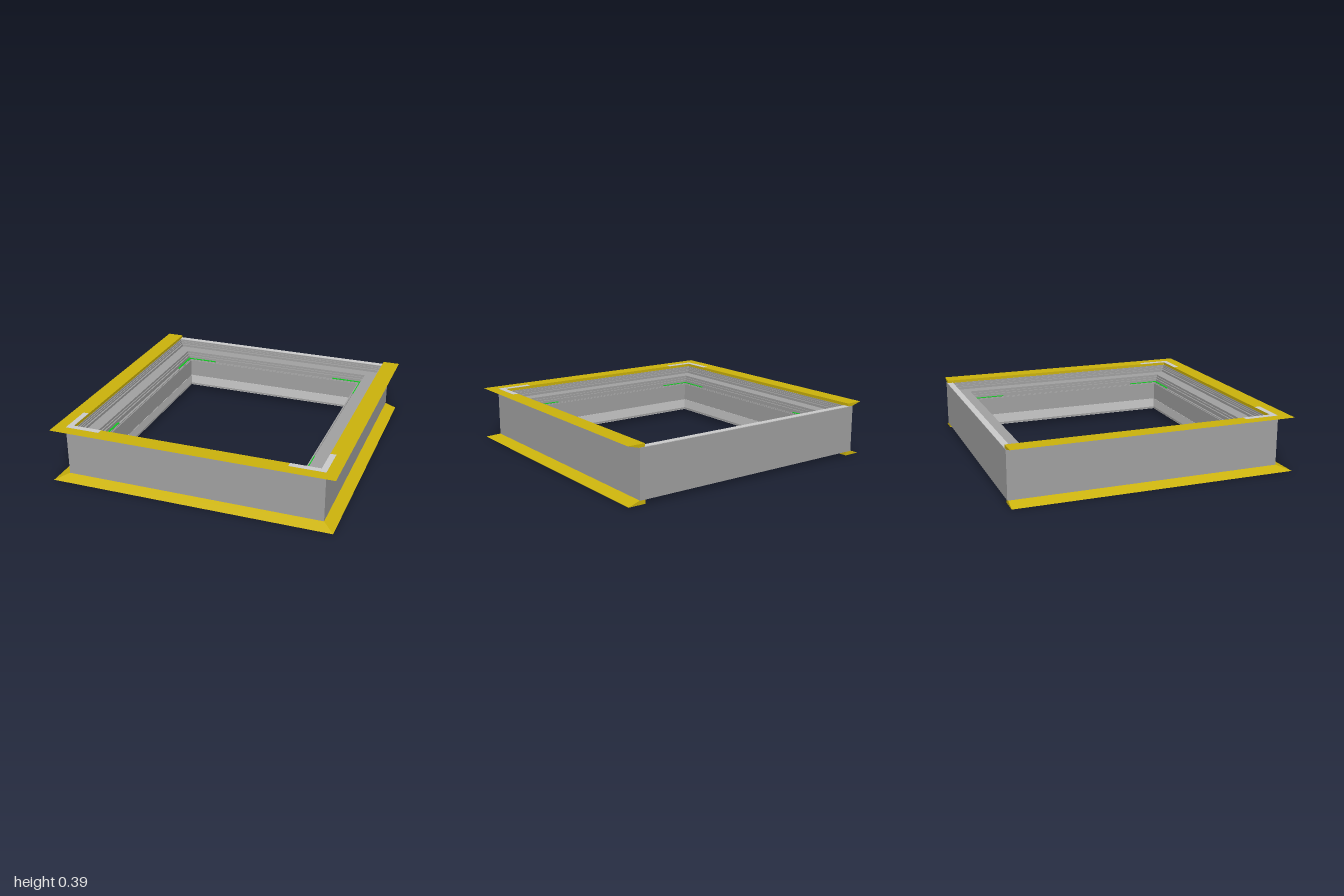
import * as THREE from 'three';

const HALF = 0.918, BACK = -1;
const material = color => new THREE.MeshStandardMaterial({ color, side: THREE.DoubleSide, flatShading: true });
const grey = material(0xcccccc);
const darkGrey = material(0xa2a2a2);
const yellow = material(0xccb30c);
const green = material(0x10cc20);

// Sweeps a closed profile of [inset, height] pairs through mitred corners
function sweep(profile, corners, closed) {
  const pos = [];
  const n = profile.length;
  const stations = corners.map(c => profile.map(([d, y]) => {
    const [x, z] = c(d);
    return [x, y, z];
  }));
  const tri = (a, b, c) => pos.push(...a, ...b, ...c);
  const spans = closed ? stations.length : stations.length - 1;
  for (let i = 0; i < spans; i++) {
    const s = stations[i], t = stations[(i + 1) % stations.length];
    for (let j = 0; j < n; j++) {
      const k = (j + 1) % n;
      tri(s[j], t[j], t[k]);
      tri(s[j], t[k], s[k]);
    }
  }
  // End caps of an open run
  if (!closed) {
    const s = stations[0], t = stations[stations.length - 1];
    for (let j = 1; j < n - 1; j++) {
      tri(s[0], s[j], s[j + 1]);
      tri(t[0], t[j + 1], t[j]);
    }
  }
  const geo = new THREE.BufferGeometry();
  geo.setAttribute('position', new THREE.Float32BufferAttribute(pos, 3));
  geo.computeVertexNormals();
  return geo;
}

export function createModel() {
  const group = new THREE.Group();
  const add = (name, geo, mat) => {
    const mesh = new THREE.Mesh(geo, mat);
    mesh.name = name;
    group.add(mesh);
    return mesh;
  };
  const box = (name, mat, x0, x1, y0, y1, z0, z1) => {
    const geo = new THREE.BoxGeometry(Math.abs(x1 - x0), y1 - y0, Math.abs(z1 - z0));
    add(name, geo, mat).position.set((x0 + x1) / 2, (y0 + y1) / 2, (z0 + z1) / 2);
  };

  // Frame ring: outer wall up, stepped rebates inward, plain inner wall, flat underside
  const ring = [
    d => [HALF - d, HALF - d], d => [HALF - d, BACK + d],
    d => [-HALF + d, BACK + d], d => [-HALF + d, HALF - d],
  ];
  const frameProfile = [
    [0, 0.03], [0, 0.364], [0.045, 0.364], [0.045, 0.352], [0.052, 0.352],
    [0.052, 0.342], [0.058, 0.342], [0.058, 0.33], [0.07, 0.33], [0.07, 0.312],
    [0.156, 0.312], [0.156, 0.295], [0.164, 0.295], [0.164, 0.28], [0.174, 0.28],
    [0.174, 0.252], [0.19, 0.252], [0.19, 0.258], [0.196, 0.258], [0.196, 0.252],
    [0.203, 0.252], [0.203, 0.035], [0.045, 0.035], [0.045, 0.03],
  ];
  add('frame', sweep(frameProfile, ring, true), darkGrey);

  // Light band around the lower part of the opening, and its foot on the underside
  add('innerBand', sweep([[0.2, 0.05], [0.2, 0.12], [0.205, 0.12], [0.205, 0.05]], ring, true), grey);
  add('innerFoot', sweep([[0.175, 0.033], [0.175, 0.036], [0.203, 0.036], [0.203, 0.033]], ring, true), grey);

  // Light strip on the bare rear edge
  box('rearStrip', grey, -0.878, 0.878, 0.362, 0.366, BACK, BACK + 0.044);

  // Flared flanges on the two sides and the front, open at the back
  const run = [
    d => [-HALF + d, BACK + 0.005], d => [-HALF + d, HALF - d],
    d => [HALF - d, HALF - d], d => [HALF - d, BACK + 0.005],
  ];
  const out = HALF - 1;
  add('topFlange', sweep([[out, 0.385], [0.041, 0.385], [0.041, 0.362], [0, 0.362]], run, false), yellow);
  add('bottomFlange', sweep([[out, 0.001], [0, 0.03], [0.041, 0.03], [0.041, 0.001]], run, false), yellow);

  for (const s of [-1, 1]) {
    // L-shaped corner plates on both flanges
    for (const y of [0, 0.384]) {
      box('cornerPlateFront', grey, s * 0.67, s * HALF, y, y + 0.002, 0.877, HALF);
      box('cornerPlateSide', grey, s * 0.877, s * HALF, y, y + 0.002, 0.67, 0.877);
    }
    // Corner brackets of short segments on the inner ledge
    for (const [edge, dir] of [[0.742, -1], [-0.824, 1]]) {
      for (let i = 0; i < 4; i++) {
        const a = i * 0.06, b = a + 0.056;
        box('bracketAcross', green, s * (0.742 - a), s * (0.742 - b), 0.252, 0.262, edge, edge + dir * 0.014);
        box('bracketAlong', green, s * 0.742, s * 0.728, 0.252, 0.262, edge + dir * a, edge + dir * b);
      }
    }
  }
  return group;
}
